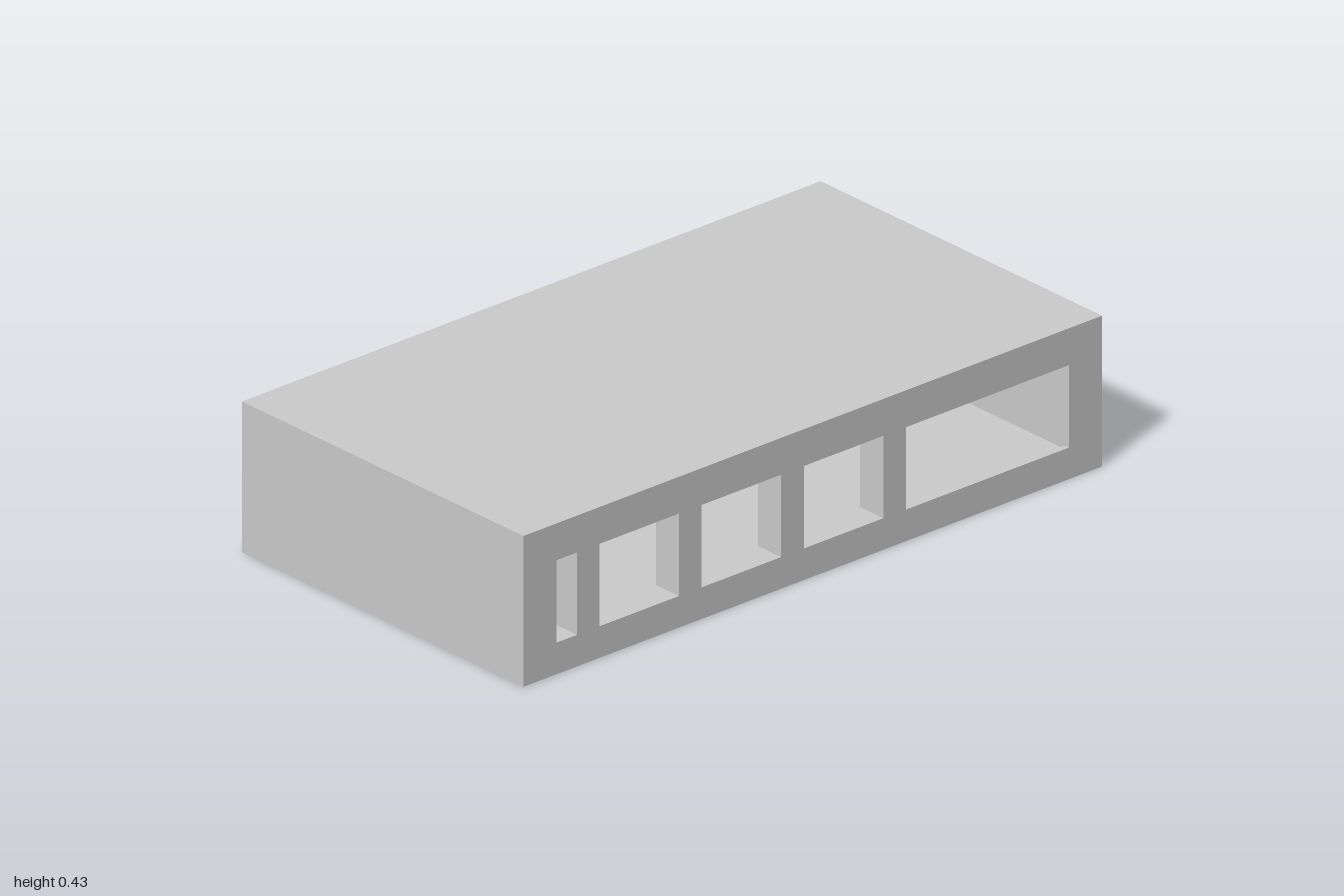
import * as THREE from 'three';

const W = 2, H = 0.43, D = 1.09, T = 0.015;
const material = new THREE.MeshStandardMaterial({ color: 0xcccccc, flatShading: true });

// Axis-aligned block given by its min and max corners
function block(name, [x0, y0, z0], [x1, y1, z1]) {
  const mesh = new THREE.Mesh(new THREE.BoxGeometry(x1 - x0, y1 - y0, z1 - z0), material);
  mesh.position.set((x0 + x1) / 2, (y0 + y1) / 2, (z0 + z1) / 2);
  mesh.name = name;
  return mesh;
}

function rectangle(target, x0, y0, x1, y1) {
  target.moveTo(x0, y0);
  target.lineTo(x1, y0);
  target.lineTo(x1, y1);
  target.lineTo(x0, y1);
  target.closePath();
  return target;
}

// Thin upright wall with rectangular openings
function wall(name, z, openings) {
  const shape = rectangle(new THREE.Shape(), -W / 2, 0, W / 2, H);
  for (const o of openings) shape.holes.push(rectangle(new THREE.Path(), ...o));
  const mesh = new THREE.Mesh(new THREE.ExtrudeGeometry(shape, { depth: T, bevelEnabled: false }), material);
  mesh.position.z = z;
  mesh.name = name;
  return mesh;
}

export function createModel() {
  const model = new THREE.Group();
  model.name = 'building';
  const x = W / 2, z = D / 2, zi = z - T;

  // Front wall with one long window, back wall with two doorways
  model.add(wall('frontWall', zi, [[-0.885, 0.09, 0.885, 0.325]]));
  model.add(wall('backWall', -z, [[-0.865, 0.01, -0.582, 0.3], [0.582, 0.01, 0.865, 0.3]]));

  // Thin floor, roof and end walls around a hollow interior
  model.add(block('floor', [-x, 0, -zi], [x, 0.01, zi]));
  model.add(block('roof', [-x, H - T, -zi], [x, H, zi]));
  model.add(block('rightWall', [-x, 0.01, -zi], [-x + T, H - T, zi]));
  model.add(block('leftWall', [x - T, 0.01, -zi], [x, H - T, zi]));

  // Evenly spaced pillars in the window
  for (let i = 0; i < 4; i++) {
    const px = -0.815 + i * 0.353;
    model.add(block('windowPillar', [px, 0.09, z - 0.09], [px + 0.078, 0.325, z]));
  }
  return model;
}
